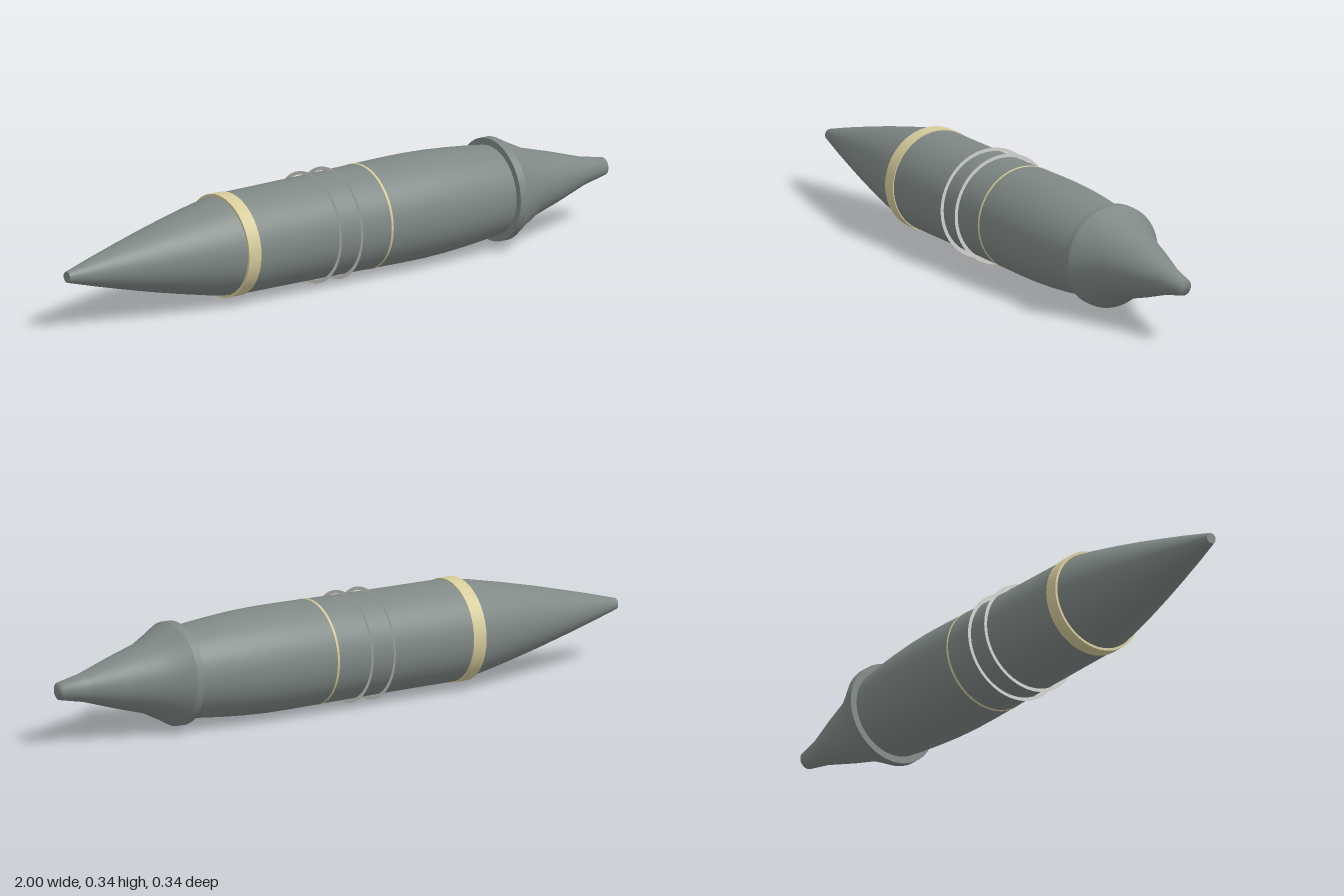
import * as THREE from 'three';

const AXIS_Y = 0.172;

export function createModel() {
  const hull = new THREE.MeshStandardMaterial({ color: 0x7f8885 });
  hull.name = 'hullGrey';
  const cream = new THREE.MeshStandardMaterial({ color: 0xd6cb9c });
  cream.name = 'cream';
  const pale = new THREE.MeshStandardMaterial({ color: 0xd2d2cd, side: THREE.DoubleSide });
  pale.name = 'paleGrey';
  const model = new THREE.Group();
  model.name = 'spindleCraft';

  // Revolve [x, radius] pairs around the long x axis
  function revolve(name, profile, material) {
    const points = profile.map(([x, r]) => new THREE.Vector2(r, x));
    const mesh = new THREE.Mesh(new THREE.LatheGeometry(points, 64), material);
    mesh.name = name;
    mesh.rotation.z = -Math.PI / 2;
    mesh.position.y = AXIS_Y;
    model.add(mesh);
  }

  // Flat annulus standing across the axis
  function hoop(name, x, inner, outer, material) {
    const mesh = new THREE.Mesh(new THREE.RingGeometry(inner, outer, 64), material);
    mesh.name = name;
    mesh.rotation.y = Math.PI / 2;
    mesh.position.set(x, AXIS_Y, 0);
    model.add(mesh);
  }

  // Tapered nose with a small blunt tip
  revolve('noseTip', [[-1, 0], [-1, 0.017]], hull);
  revolve('nose', [[-1, 0.017], [-0.9, 0.045], [-0.8, 0.071], [-0.7, 0.096],
    [-0.6, 0.119], [-0.5, 0.14], [-0.43, 0.152]], hull);

  // Main barrel, swelling slightly and then narrowing
  revolve('barrel', [[-0.43, 0.152], [-0.39, 0.156], [-0.2, 0.157], [0, 0.159],
    [0.1, 0.1605], [0.2, 0.162], [0.28, 0.162], [0.36, 0.159], [0.44, 0.153],
    [0.52, 0.145], [0.58, 0.137]], hull);

  // Flange and flared tail
  revolve('flangeFace', [[0.577, 0.12], [0.577, 0.159]], hull);
  revolve('flangeRim', [[0.577, 0.159], [0.602, 0.159]], hull);
  revolve('tailFlare', [[0.602, 0.159], [0.64, 0.138], [0.7, 0.108], [0.8, 0.08],
    [0.88, 0.055], [0.915, 0.044]], hull);
  revolve('tailNozzle', [[0.915, 0.044], [1, 0.027], [1, 0]], hull);

  // Painted bands
  revolve('noseBand', [[-0.435, 0.15], [-0.435, 0.159], [-0.435, 0.159],
    [-0.39, 0.159], [-0.39, 0.159], [-0.39, 0.154]], cream);
  revolve('middleBand', [[0.094, 0.1595], [0.094, 0.162], [0.101, 0.162], [0.101, 0.1595]], cream);

  // Thin hoops standing proud of the barrel
  for (const x of [-0.1, -0.02]) hoop('barrelHoop', x, 0.161, 0.172, pale);

  return model;
}
